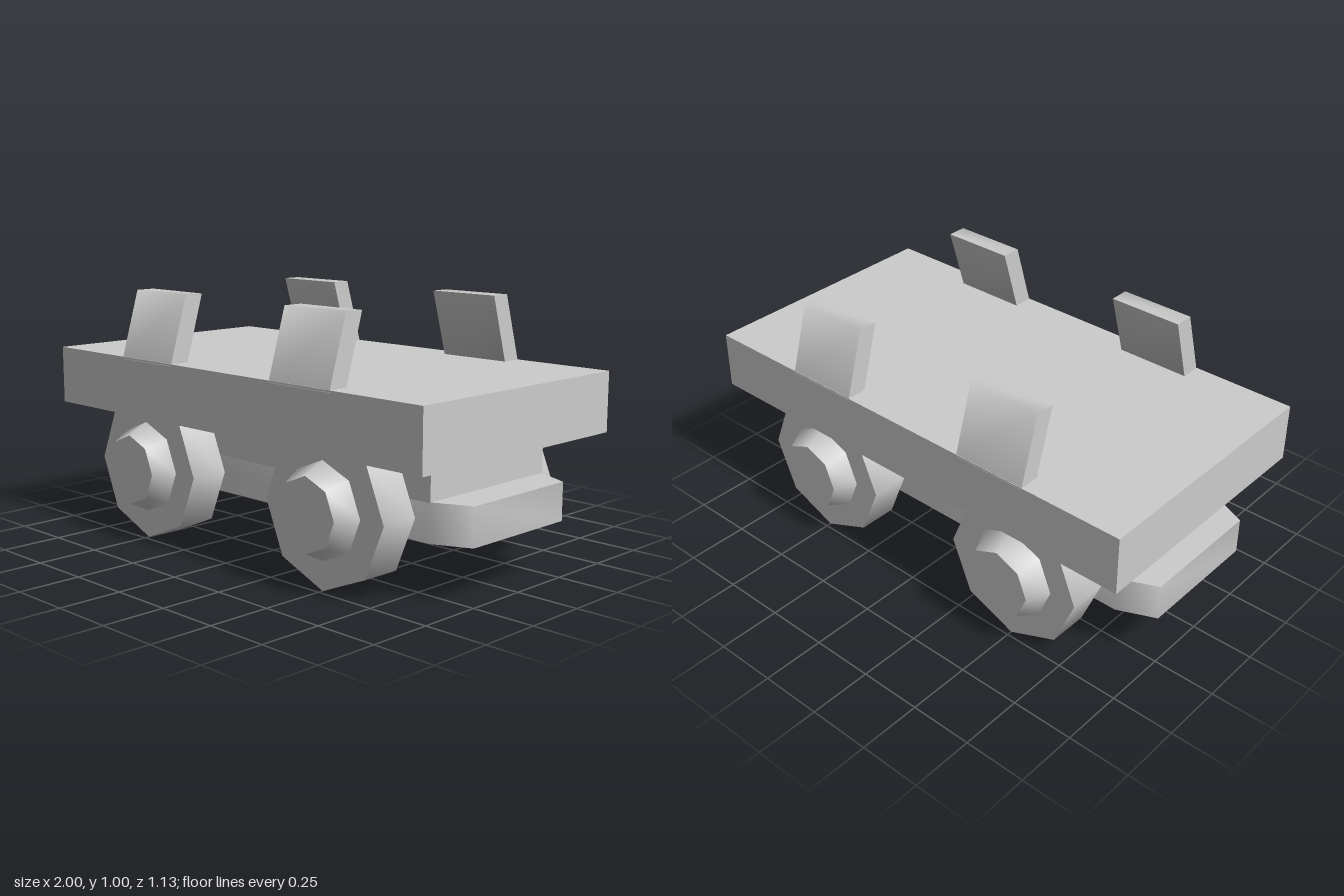
import * as THREE from 'three';
import { toCreasedNormals } from 'three/addons/utils/BufferGeometryUtils.js';

const grey = new THREE.MeshStandardMaterial({ color: 0xcccccc });

function part(name, geometry, parent, x = 0, y = 0, z = 0) {
  const mesh = new THREE.Mesh(geometry, grey);
  mesh.name = name;
  mesh.position.set(x, y, z);
  parent.add(mesh);
  return mesh;
}

// Prism from an outline, with soft shading over shallow edges
function prism(points, depth) {
  const shape = new THREE.Shape(points.map(([x, y]) => new THREE.Vector2(x, y)));
  const geometry = new THREE.ExtrudeGeometry(shape, { depth, bevelEnabled: false });
  return toCreasedNormals(geometry, 1.3);
}

// Eight-sided disc with its axis along z
function disc(outerRadius, innerRadius, depth) {
  const geometry = new THREE.CylinderGeometry(outerRadius, innerRadius, depth, 8);
  return toCreasedNormals(geometry.rotateX(Math.PI / 2), 0.9);
}

export function createModel() {
  const model = new THREE.Group();
  model.name = 'flatWagon';

  // Flat deck and the chassis beneath it
  part('deck', new THREE.BoxGeometry(2, 0.233, 1.055), model, 0, 0.6215, 0);
  part('chassis', new THREE.BoxGeometry(1.72, 0.15, 0.64), model, 0, 0.432, 0);

  // Lower plate with chamfered ends that act as bumpers
  const plate = prism([
    [-1, -0.255], [-0.855, -0.32], [0.855, -0.32], [1, -0.255],
    [1, 0.255], [0.855, 0.32], [-0.855, 0.32], [-1, 0.255],
  ], 0.147).rotateX(-Math.PI / 2);
  part('bumperPlate', plate, model, 0, 0.213, 0);

  const wheel = disc(0.292, 0.292, 0.16);
  const hub = disc(0.14, 0.183, 0.085);
  // Inward-leaning stake, profile drawn in z and y
  const stake = prism([[0.447, 0.73], [0.528, 0.73], [0.447, 1], [0.367, 1]], 0.304)
    .rotateY(-Math.PI / 2);

  // Both long sides are alike: the back is the front turned around
  for (const [name, turn] of [['frontSide', 0], ['backSide', Math.PI]]) {
    const side = new THREE.Group();
    side.name = name;
    side.rotation.y = turn;
    model.add(side);
    for (const s of [-1, 1]) {
      part('wheel', wheel, side, s * 0.5, 0.292, 0.4);
      part('hub', hub, side, s * 0.5, 0.294, 0.5225);
      part('stake', stake, side, s * 0.428 + 0.152, 0, 0);
    }
  }
  return model;
}
